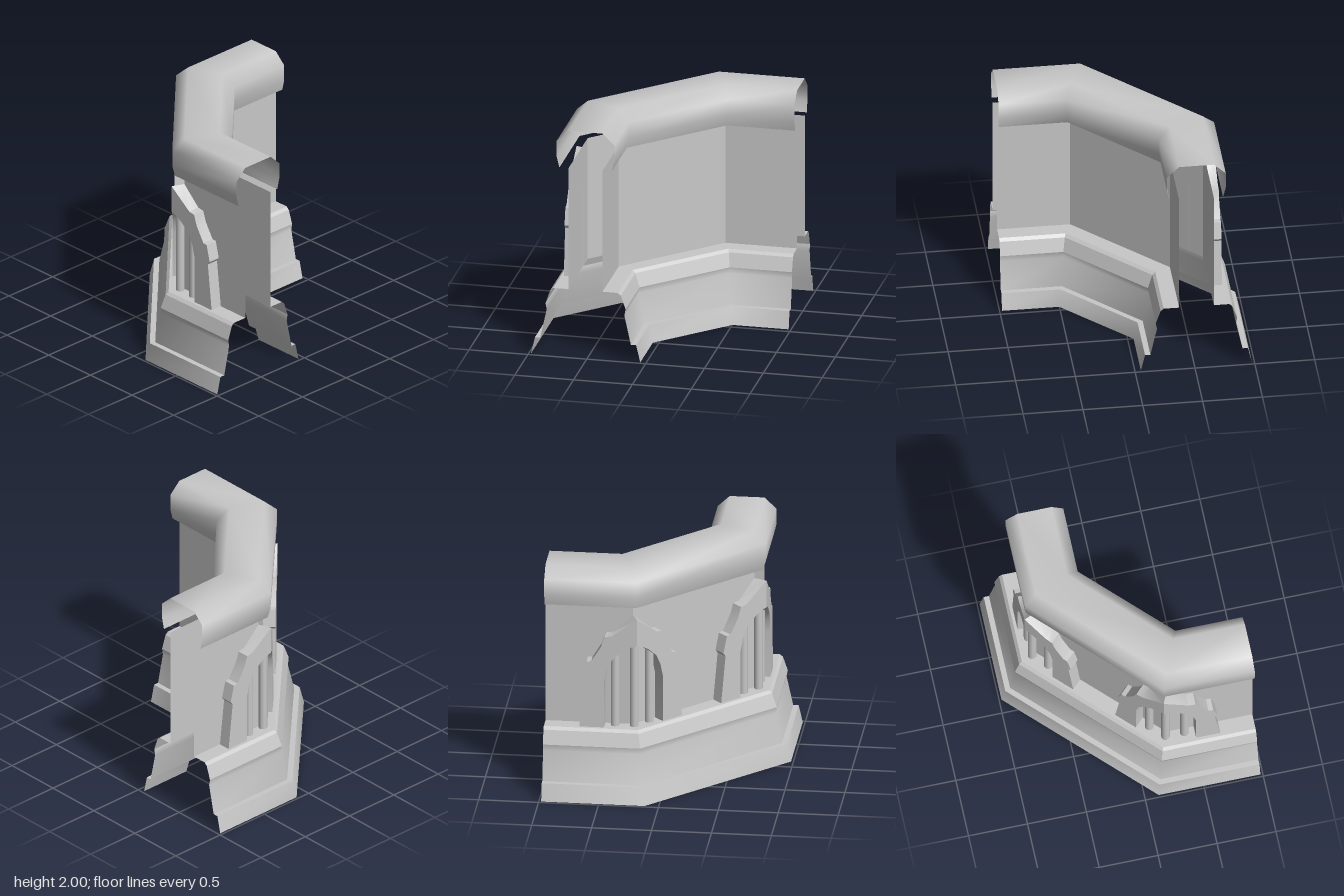
import * as THREE from 'three';
import { toCreasedNormals } from 'three/addons/utils/BufferGeometryUtils.js';

const stone = new THREE.MeshStandardMaterial({ color: 0xc8c8c8, side: THREE.DoubleSide });
stone.name = 'stone grey';

const MITER = Math.tan(Math.PI / 8); // each corner turns 45 degrees
const MID = 0.515, BEND = 0.31, END = 0.98;

// Plan points of the wall line, offset outward by d from its centre
const plan = d => [
  [-MID - d, -END],
  [-MID - d, -BEND + MITER * d],
  [BEND - MITER * d, MID + d],
  [END, MID + d],
];

// Sweep a profile of [offset, height] points along the wall line
function sweep(name, profile, flat = false) {
  const pos = [], index = [];
  profile.forEach(([d, y]) => plan(d).forEach(([x, z]) => pos.push(x, y, z)));
  for (let i = 0; i < profile.length - 1; i++) {
    for (let j = 0; j < 3; j++) {
      const a = i * 4 + j;
      index.push(a, a + 1, a + 5, a, a + 5, a + 4);
    }
  }
  let geo = new THREE.BufferGeometry();
  geo.setAttribute('position', new THREE.Float32BufferAttribute(pos, 3));
  geo.setIndex(index);
  if (flat) geo = geo.toNonIndexed();
  geo.computeVertexNormals();
  const mesh = new THREE.Mesh(geo, stone);
  mesh.name = name;
  return mesh;
}

// The same profile on the inner side of the wall
const inner = profile => profile.map(([d, y]) => [-d, y]).reverse();

// Half of the stepped pointed frame, [distance from apex, height]
const OUTER = [[0, 1.577], [0.21, 1.42], [0.27, 1.41], [0.3, 1.32], [0.38, 1.19],
  [0.42, 1.185], [0.456, 1.04], [0.434, 1.01], [0.48, 0.6]];
const INNER = [[0.275, 0.6], [0.275, 1.01], [0.25, 1.12], [0.205, 1.21], [0.12, 1.285], [0.05, 1.325], [0, 1.337]];
const BACK = 0.145, FACE = 0.25;

// k = 1 lies along the straight wall, k = -1 along the diagonal one
function wallAxes(k) {
  const h = Math.SQRT1_2;
  return k > 0
    ? { e: new THREE.Vector3(1, 0, 0), n: new THREE.Vector3(0, 0, 1) }
    : { e: new THREE.Vector3(h, 0, h), n: new THREE.Vector3(-h, 0, h) };
}

function frameHalf(k) {
  const shape = new THREE.Shape([...OUTER, ...INNER].map(([s, y]) => new THREE.Vector2(k * s, y)));
  const geo = new THREE.ExtrudeGeometry(shape, { depth: FACE - BACK, bevelEnabled: false });
  const { e, n } = wallAxes(k), p = geo.attributes.position;
  for (let i = 0; i < p.count; i++) {
    const d = BACK + p.getZ(i), x = p.getX(i);
    // apex points follow the mitre, the rest stay square to the wall
    const along = Math.abs(x) < 1e-6 ? -k * MITER * d : x - k * MITER * FACE;
    p.setXYZ(i, e.x * along + n.x * d, p.getY(i), e.z * along + n.z * d);
  }
  const mesh = new THREE.Mesh(toCreasedNormals(geo, 0.55), stone);
  mesh.name = k > 0 ? 'archFrameStraight' : 'archFrameDiagonal';
  return mesh;
}

function mullion(name, x, z, top) {
  const mesh = new THREE.Mesh(new THREE.CylinderGeometry(0.037, 0.037, top - 0.6, 10, 1, true), stone);
  mesh.position.set(x, (top + 0.6) / 2, z);
  mesh.name = name;
  return mesh;
}

// Pointed window folded around a wall corner at the local origin
function cornerWindow() {
  const group = new THREE.Group();
  const d = 0.18, x = -MITER * d;
  group.add(mullion('centreMullion', x, d, 1.34));
  for (const k of [1, -1]) {
    const { e } = wallAxes(k);
    group.add(frameHalf(k));
    group.add(mullion('sideMullion', x + k * e.x * 0.16, d + k * e.z * 0.16, 1.29));
  }
  return group;
}

export function createModel() {
  const model = new THREE.Group();
  model.name = 'cornerWall';

  // Base, ledge and wall faces on both sides
  const strips = [
    ['plinth', [[0.465, 0], [0.43, 0.15]]],
    ['plinthStep', [[0.43, 0.15], [0.385, 0.15]]],
    ['slopedBase', [[0.385, 0.15], [0.33, 0.405], [0.34, 0.46]]],
    ['ledge', [[0.34, 0.46], [0.3, 0.577], [0.275, 0.6], [BACK, 0.6]], true],
    ['wallFace', [[BACK, 0.6], [BACK, 1.67]], true],
  ];
  for (const [name, profile, flat] of strips) {
    model.add(sweep(name + 'Outer', profile, flat));
    model.add(sweep(name + 'Inner', inner(profile), flat));
  }

  // Rounded hollow coping, open below and at the ends
  const coping = [[0.222, 1.67], [0.245, 1.765], [0.245, 1.905], [0.145, 2]];
  model.add(sweep('coping', [...coping, ...inner(coping)]));

  // Windows on the two corners
  const right = cornerWindow();
  right.name = 'frontCornerWindow';
  right.position.set(BEND, 0, MID);
  const left = cornerWindow();
  left.name = 'sideCornerWindow';
  left.position.set(-MID, 0, -BEND);
  left.rotation.y = -Math.PI / 4;
  model.add(right, left);

  return model;
}
